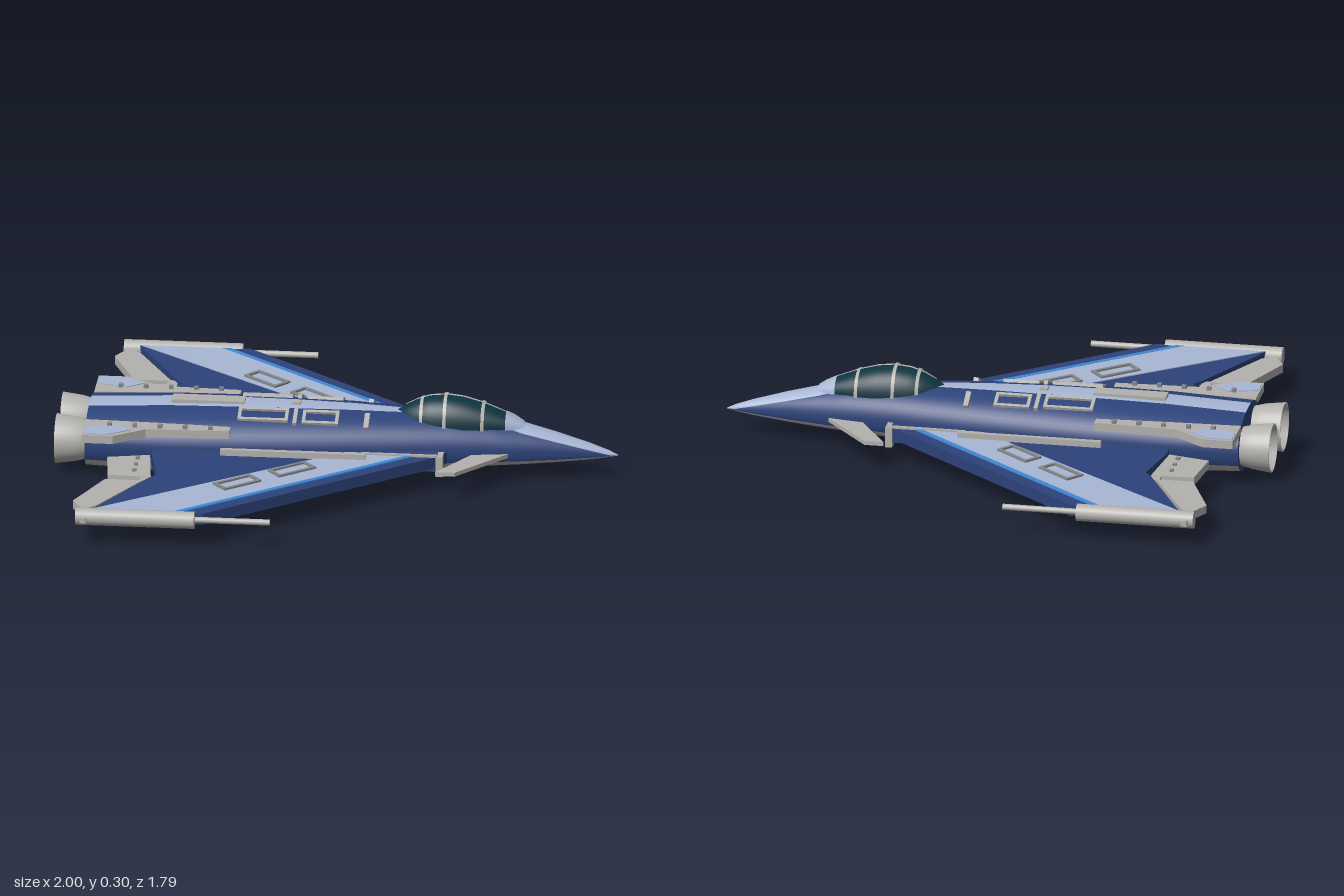
import * as THREE from 'three';

const mat = (name, color, side = THREE.FrontSide) => {
  const m = new THREE.MeshStandardMaterial({ color, side });
  m.name = name;
  return m;
};

export function createModel() {
  const navy = mat('navy paint', 0x2c4279);
  const pale = mat('pale blue paint', 0xa9b7d6);
  const sky = mat('bright blue line', 0x3f8ad6);
  const grey = mat('light grey metal', 0xb3b2ae, THREE.DoubleSide);
  const glass = mat('dark teal glass', 0x0c3541);
  const trim = mat('dark grey trim', 0x85878a);

  const model = new THREE.Group();
  const add = (name, geo, material, x = 0, y = 0, z = 0, parent = model) => {
    const m = new THREE.Mesh(geo, material);
    m.name = name;
    m.position.set(x, y, z);
    parent.add(m);
    return m;
  };

  // Cross-section rows: x, half width, top, widest height, bottom, stripe half width
  const body = [
    [-0.89, 0.2, 0.225, 0.12, 0.015, 0.05], [-0.6, 0.208, 0.238, 0.12, 0.003, 0.05],
    [-0.37, 0.203, 0.242, 0.12, 0.005, 0.05], [-0.15, 0.19, 0.242, 0.12, 0.014, 0.045],
    [0.05, 0.172, 0.239, 0.12, 0.024, 0.035], [0.25, 0.148, 0.232, 0.118, 0.034, 0.022],
    [0.4, 0.128, 0.225, 0.116, 0.042, 0.02], [0.55, 0.106, 0.212, 0.112, 0.049, 0.035],
    [0.66, 0.086, 0.196, 0.108, 0.055, 0.055], [0.78, 0.06, 0.165, 0.102, 0.063, 0.045],
    [0.9, 0.03, 0.13, 0.096, 0.073, 0.027], [0.97, 0.011, 0.105, 0.091, 0.082, 0.011],
    [1, 0.001, 0.09, 0.088, 0.087, 0.001],
  ];
  const rowAt = (rows, x) => {
    let i = 0;
    while (i < rows.length - 2 && rows[i + 1][0] < x) i++;
    const f = (x - rows[i][0]) / (rows[i + 1][0] - rows[i][0]);
    return rows[i].map((v, k) => v + (rows[i + 1][k] - v) * f);
  };
  const E = 0.92;

  // Skin over the rows between two angles (0 = left flank, PI/2 = top)
  const skin = (rows, from, to, n) => {
    const pos = [], idx = [];
    rows.forEach((r, i) => {
      const a = from(r), b = to(r);
      for (let j = 0; j <= n; j++) {
        const t = a + (b - a) * j / n, c = Math.cos(t), s = Math.sin(t);
        const e = s < 0 ? 0.75 : E;
        pos.push(r[0],
          r[3] + (s < 0 ? r[3] - r[4] : r[2] - r[3]) * Math.sign(s) * Math.abs(s) ** e,
          r[1] * Math.sign(c) * Math.abs(c) ** e);
        if (i < rows.length - 1 && j < n) {
          const p = i * (n + 1) + j, q = p + n + 1;
          idx.push(p, q, p + 1, q, q + 1, p + 1);
        }
      }
    });
    const g = new THREE.BufferGeometry();
    g.setAttribute('position', new THREE.Float32BufferAttribute(pos, 3));
    g.setIndex(idx);
    g.computeVertexNormals();
    return g;
  };

  // Fuselage
  const LOW = 0.38, PI = Math.PI;
  const edge = r => Math.acos(Math.min(1, r[5] / r[1]) ** (1 / E));
  add('leftFuselage', skin(body, () => -LOW, edge, 14), navy);
  add('rightFuselage', skin(body, r => PI - edge(r), () => PI + LOW, 14), navy);
  add('spineStripe', skin(body, edge, r => PI - edge(r), 10), pale);
  add('belly', skin(body, () => PI + LOW, () => 2 * PI - LOW, 20), grey);
  const bulkhead = new THREE.Shape();
  for (let k = 0; k < 32; k++) {
    const t = k / 16 * PI, s = Math.sin(t), c = Math.cos(t), e = s < 0 ? 0.75 : E;
    bulkhead[k ? 'lineTo' : 'moveTo'](0.2 * Math.sign(c) * Math.abs(c) ** e,
      0.12 + 0.105 * Math.sign(s) * Math.abs(s) ** e);
  }
  add('rearBulkhead', new THREE.ShapeGeometry(bulkhead).rotateY(-PI / 2), navy, -0.89);

  // Canopy with ribs
  const canopy = [[0.21, 0.01, 0.232, 0.19], [0.24, 0.045, 0.25, 0.19], [0.28, 0.07, 0.272, 0.19],
    [0.33, 0.083, 0.289, 0.19], [0.39, 0.087, 0.295, 0.19], [0.45, 0.085, 0.288, 0.19],
    [0.52, 0.075, 0.268, 0.19], [0.59, 0.058, 0.24, 0.19], [0.64, 0.043, 0.217, 0.185],
    [0.665, 0.03, 0.2, 0.18]].map(r => [...r, 0.15, 0]);
  const zero = () => 0, half = () => PI;
  const raise = (r, d) => [r[0], r[1] + d, r[2] + d, r[3], r[4], 0];
  add('canopy', skin(canopy, zero, half, 24), glass);
  [0.3, 0.385, 0.52].forEach(x => add('canopyRib', skin(
    [x - 0.006, x + 0.006].map(v => raise(rowAt(canopy, v), 0.004)), zero, half, 24), grey));
  add('canopySpine', skin(canopy.slice(1).map(r => raise(r, 0.004)),
    () => PI / 2 - 0.06, () => PI / 2 + 0.06, 2), grey);
  add('canopyFoot', skin([0.6, 0.63, 0.665].map(v => raise(rowAt(canopy, v), 0.003)),
    zero, half, 16), pale);

  // Flat plate from x,z corners, its top at the given height
  const shapeOf = (pts, side) => new THREE.Shape(pts.map(p => new THREE.Vector2(p[0], p[1] * side)));
  const plate = (name, pts, side, top, thick, material, parent) => {
    const g = new THREE.ExtrudeGeometry(shapeOf(pts, side), { depth: thick, bevelEnabled: false });
    return add(name, g.rotateX(PI / 2), material, 0, top, 0, parent);
  };
  const frame = (w, d, t, h) => {
    const rect = (a, b) => [[-a, -b], [a, -b], [a, b], [-a, b]];
    const s = shapeOf(rect(w / 2, d / 2), 1);
    s.holes.push(shapeOf(rect(w / 2 - t, d / 2 - t), 1));
    return new THREE.ExtrudeGeometry(s, { depth: h, bevelEnabled: false }).rotateX(PI / 2);
  };
  const rod = (r, len) => new THREE.CylinderGeometry(r, r, len, 20).rotateZ(PI / 2);

  // Rest a part on the upper fuselage, tilted to the surface
  const bodyY = (x, z) => {
    const r = rowAt(body, x);
    return r[3] + (r[2] - r[3]) * (1 - Math.abs(z / r[1]) ** (2 / E)) ** (E / 2);
  };
  const onBody = (name, geo, material, x, z, lift = 0.003) => {
    const m = add(name, geo, material, x, bodyY(x, z) + lift, z);
    m.rotation.x = -Math.atan((bodyY(x, z + 0.01) - bodyY(x, z - 0.01)) / 0.02);
    return m;
  };
  onBody('spinePlate', new THREE.BoxGeometry(0.26, 0.014, 0.06), grey, -0.465, 0);
  onBody('spineHatch', new THREE.BoxGeometry(0.03, 0.01, 0.03), grey, -0.15, 0);

  for (const side of [1, -1]) {
    const wing = new THREE.Group();
    wing.name = side > 0 ? 'leftWing' : 'rightWing';
    model.add(wing);

    // Wing with painted band and line
    plate('wingPanel', [[0.4, 0.13], [0.37, 0.18], [-0.4, 0.83], [-0.8, 0.83], [-0.63, 0.49],
      [-0.605, 0.46], [-0.645, 0.25], [-0.63, 0.1], [0.1, 0.1]], side, 0.125, 0.042, navy, wing);
    plate('wingBand', [[0.28, 0.17], [-0.5, 0.82], [-0.79, 0.82], [0.04, 0.17]],
      side, 0.128, 0.005, pale, wing);
    plate('wingLine', [[0.31, 0.17], [-0.47, 0.82], [-0.5, 0.82], [0.28, 0.17]],
      side, 0.129, 0.006, sky, wing);
    for (const [x, z] of [[-0.31, 0.52], [-0.13, 0.37]]) {
      add('wingAccessFrame', frame(0.16, 0.075, 0.012, 0.012), trim, x, 0.135, z * side, wing)
        .rotation.y = side * 0.7;
    }

    // Flaps and hinge
    plate('outerFlap', [[-0.834, 0.81], [-0.79, 0.77], [-0.65, 0.5], [-0.785, 0.5], [-0.877, 0.727]],
      side, 0.118, 0.03, grey, wing);
    plate('innerFlap', [[-0.78, 0.46], [-0.625, 0.465], [-0.65, 0.245], [-0.8, 0.28]],
      side, 0.118, 0.03, grey, wing);
    add('flapHinge', new THREE.BoxGeometry(0.035, 0.025, 0.06), grey, -0.645, 0.104, 0.48 * side, wing);
    for (const z of [0.29, 0.35, 0.41]) {
      add('flapBolt', new THREE.BoxGeometry(0.014, 0.01, 0.014), trim, -0.69, 0.121, z * side, wing);
    }

    // Wing tip pod
    add('tipPod', rod(0.031, 0.425), grey, -0.642, 0.105, 0.847 * side, wing);
    add('tipProbe', rod(0.011, 0.28), grey, -0.3, 0.105, 0.842 * side, wing);
    add('tipKnob', new THREE.BoxGeometry(0.022, 0.02, 0.03), grey, -0.825, 0.105, 0.88 * side, wing);

    // Root rail and intake
    add('rootRail', new THREE.BoxGeometry(0.52, 0.026, 0.02), grey, -0.14, 0.134, 0.235 * side, wing);
    add('intakeLip', new THREE.BoxGeometry(0.025, 0.075, 0.055), grey, 0.378, 0.09, 0.163 * side, wing);
    add('intakeDuct', new THREE.BoxGeometry(0.27, 0.06, 0.05), navy, 0.235, 0.1, 0.16 * side, wing);
    add('intakeTrim', new THREE.BoxGeometry(0.27, 0.008, 0.012), grey, 0.235, 0.13, 0.187 * side, wing);

    // Canard
    plate('canard', [[0.375, 0.3], [0.445, 0.3], [0.63, 0.075], [0.51, 0.075]], side, 0.113, 0.015, grey);

    // Rear strake with bolts
    plate('rearStrake', [[-0.89, 0.3], [-0.78, 0.3], [-0.67, 0.22], [-0.37, 0.207], [-0.37, 0.165],
      [-0.62, 0.15], [-0.89, 0.14]], side, 0.205, 0.03, grey);
    plate('strakePaint', [[-0.885, 0.29], [-0.8, 0.29], [-0.72, 0.235], [-0.78, 0.19], [-0.885, 0.22]],
      side, 0.208, 0.005, pale);
    for (let x = -0.8; x < -0.4; x += 0.09) {
      add('strakeBolt', new THREE.BoxGeometry(0.016, 0.016, 0.016), trim, x, 0.209, 0.197 * side);
    }

    // Fuselage access frames and bars
    onBody('accessFrame', frame(0.18, 0.07, 0.012, 0.012), grey, -0.26, 0.1 * side, 0.008);
    onBody('accessFrame', frame(0.13, 0.07, 0.012, 0.012), grey, -0.055, 0.1 * side, 0.008);
    onBody('crossBar', new THREE.BoxGeometry(0.014, 0.014, 0.09), grey, -0.145, 0.1 * side);
    onBody('crossBar', new THREE.BoxGeometry(0.018, 0.014, 0.07), grey, 0.11, 0.1 * side);

    // Engine nozzle
    const profile = [[0.06, 0.87], [0.07, 0.89], [0.08, 0.93], [0.089, 1], [0.081, 1], [0.06, 0.9],
      [0, 0.9]].map(p => new THREE.Vector2(...p));
    add(side > 0 ? 'leftNozzle' : 'rightNozzle',
      new THREE.LatheGeometry(profile, 32).rotateZ(PI / 2), grey, 0, 0.117, 0.108 * side);
  }
  return model;
}
